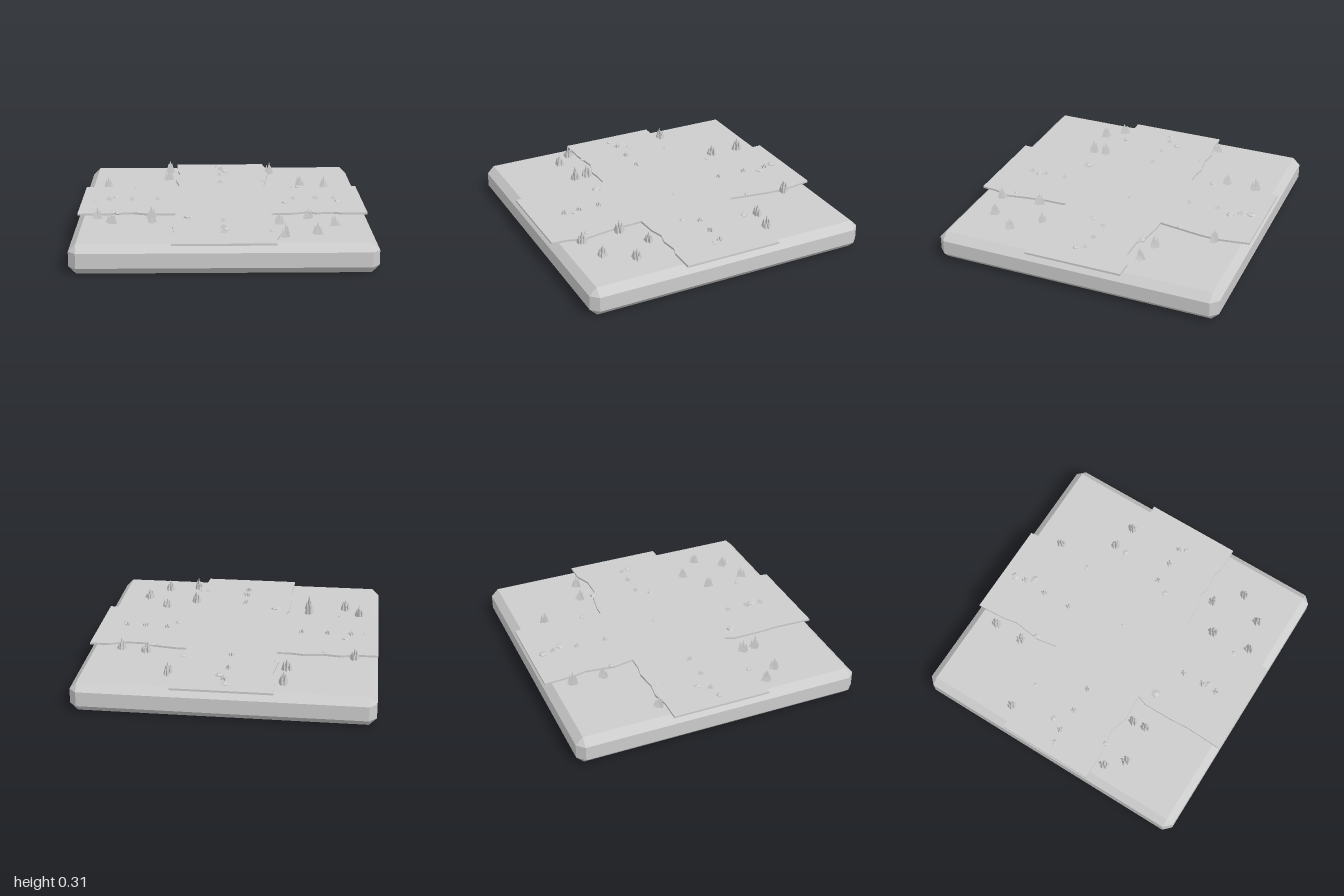
import * as THREE from 'three';
import { ConvexGeometry } from 'three/addons/geometries/ConvexGeometry.js';

const stone = new THREE.MeshStandardMaterial({ color: 0xcccccc });
stone.name = 'stoneGrey';
stone.flatShading = true;

let seed = 7;
const rand = (a, b) => {
  seed = (seed * 16807) % 2147483647;
  return a + (b - a) * (seed / 2147483647);
};

function add(parent, name, geometry) {
  const mesh = new THREE.Mesh(geometry, stone);
  mesh.name = name;
  parent.add(mesh);
  return mesh;
}

// Square slab with a single chamfer on every edge
function slabGeometry() {
  const points = [];
  for (const sx of [-1, 1]) for (const sz of [-1, 1]) {
    for (const y of [0.05, 0.15]) {
      points.push(new THREE.Vector3(sx, y, sz * 0.95), new THREE.Vector3(sx * 0.95, y, sz));
    }
    for (const y of [0, 0.2]) points.push(new THREE.Vector3(sx * 0.95, y, sz * 0.95));
  }
  return new ConvexGeometry(points);
}

// Crossroads outline as [x, z], one ragged inner corner per row
const outline = [
  [-0.34, -1], [-0.33, -0.8], [-0.31, -0.7], [-0.335, -0.5], [-0.31, -0.36], [-0.41, -0.36], [-0.49, -0.375], [-0.63, -0.355], [-0.74, -0.37], [-0.85, -0.345], [-1, -0.345],
  [-1, 0.335], [-0.8, 0.33], [-0.62, 0.305], [-0.5, 0.345], [-0.42, 0.335], [-0.315, 0.335], [-0.34, 0.4], [-0.34, 0.59], [-0.33, 0.75], [-0.34, 1],
  [0.335, 1], [0.345, 0.89], [0.38, 0.78], [0.36, 0.67], [0.34, 0.51], [0.335, 0.345], [0.48, 0.335], [0.57, 0.31], [0.65, 0.33], [0.765, 0.315], [0.82, 0.335], [1, 0.335],
  [1, -0.345], [0.87, -0.345], [0.76, -0.3], [0.61, -0.3], [0.55, -0.335], [0.39, -0.36], [0.315, -0.36], [0.36, -0.67], [0.365, -0.8], [0.335, -1],
];

// Cluster of three-sided spikes around a tall centre
function tuft(parent, name, x, y, z, height, radius, count) {
  const group = new THREE.Group();
  group.name = name;
  group.position.set(x, y, z);
  const start = rand(0, 6.28);
  for (let i = 0; i < count; i++) {
    const h = i === 0 ? height : height * rand(0.45, 0.85);
    const r = radius * rand(0.8, 1.1);
    const a = start + (i * 2 * Math.PI) / (count - 1);
    const d = i === 0 ? 0 : radius * rand(0.7, 1.1);
    const cone = new THREE.ConeGeometry(r, h, 3);
    cone.rotateY(Math.PI + rand(-0.15, 0.15));
    cone.translate(0, h / 2, 0);
    const spike = add(group, 'spike', cone);
    spike.position.set(Math.sin(a) * d, 0, Math.cos(a) * d);
  }
  parent.add(group);
}

export function createModel() {
  const model = new THREE.Group();
  model.name = 'crossroadsTile';

  add(model, 'groundSlab', slabGeometry());

  const shape = new THREE.Shape(outline.map(([x, z]) => new THREE.Vector2(x, z)));
  const road = new THREE.ExtrudeGeometry(shape, { depth: 0.014, bevelEnabled: false });
  road.rotateX(Math.PI / 2);
  road.translate(0, 0.214, 0);
  add(model, 'crossroads', road);

  // Tall tufts on the four corner fields: x, z, height
  for (const [x, z, h] of [
    [-0.39, -0.82, 0.095], [-0.395, -0.605, 0.08], [-0.84, -0.385, 0.085],
    [0.38, -0.765, 0.09], [0.59, -0.42, 0.08], [0.765, -0.39, 0.09],
    [-0.855, 0.39, 0.08], [-0.75, 0.5, 0.08], [-0.49, 0.395, 0.09], [-0.48, 0.49, 0.105],
    [0.58, 0.41, 0.075], [0.375, 0.53, 0.085], [0.745, 0.575, 0.075],
    [0.615, 0.755, 0.085], [0.4, 0.81, 0.095],
  ]) tuft(model, 'tallTuft', x, 0.2, z, h, 0.021, 6);

  // Low tufts along the middle of both roads: x, z
  for (const [x, z] of [
    [0, -0.83], [-0.01, -0.66], [-0.01, -0.45], [0, 0.51], [0, 0.66], [0, 0.77],
    [-0.81, 0], [-0.64, 0], [-0.46, 0], [0.51, -0.01], [0.665, -0.01], [0.8, -0.01],
  ]) tuft(model, 'roadTuft', x, 0.21, z, 0.032, 0.015, 5);

  // Flattened stones: x, z, radius
  for (const [x, z, r] of [
    [-0.015, -0.905, 0.031], [0.035, -0.77, 0.031], [-0.32, -0.52, 0.02], [0.32, -0.5, 0.021],
    [-0.63, -0.325, 0.017], [0.57, -0.325, 0.025], [0.52, -0.32, 0.013], [-0.765, -0.08, 0.025],
    [-0.905, 0.02, 0.023], [0.445, 0.085, 0.025], [0.82, 0.045, 0.023], [-0.725, 0.32, 0.02],
    [-0.235, 0.425, 0.034], [0.015, 0.705, 0.027], [0.315, 0.74, 0.021], [0.08, -0.04, 0.014],
  ]) {
    const rock = add(model, 'stone', new THREE.DodecahedronGeometry(r));
    rock.scale.y = 0.5;
    rock.rotation.y = rand(0, 6.28);
    rock.position.set(x, 0.213, z);
  }
  return model;
}
